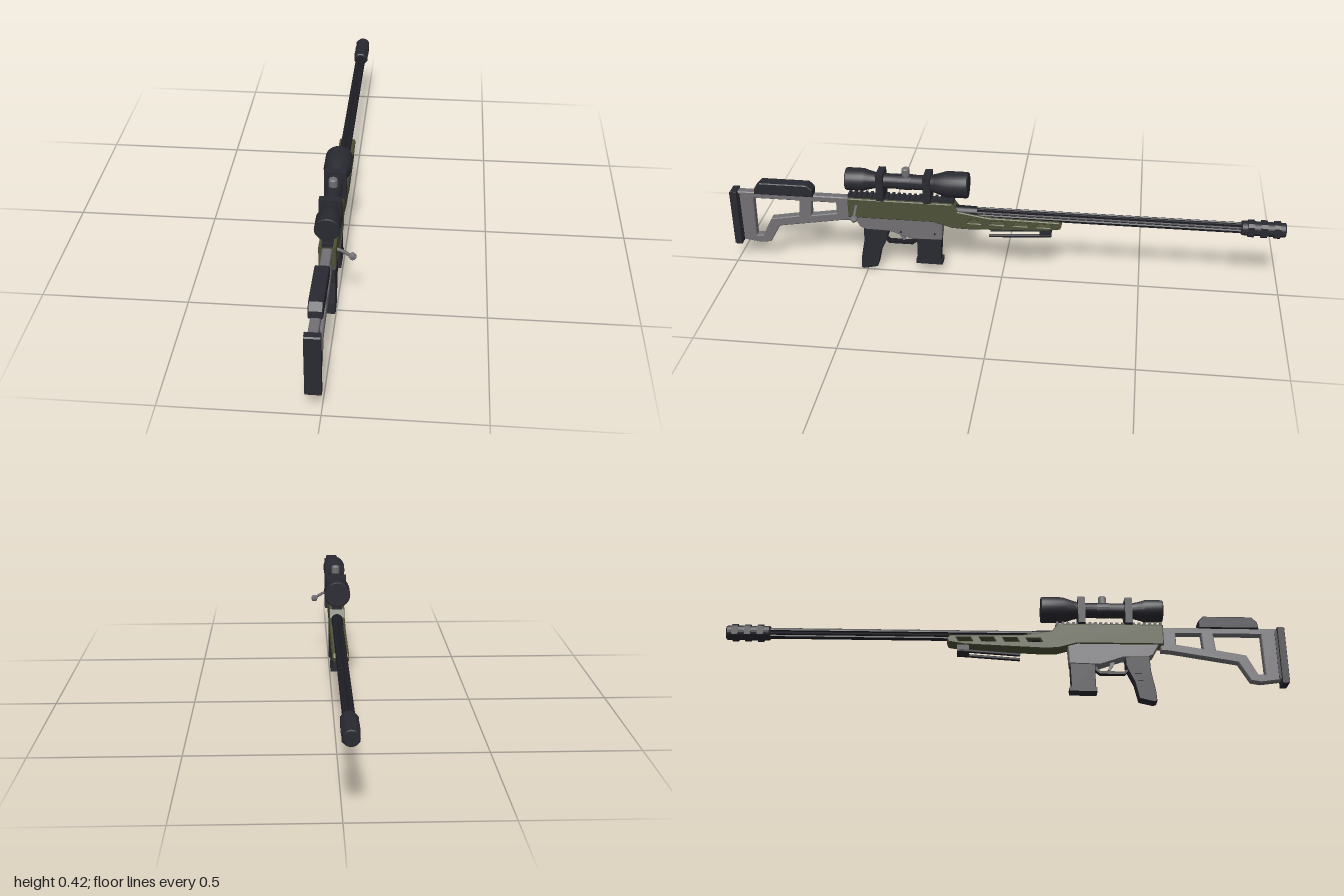
import * as THREE from 'three';
import { toCreasedNormals } from 'three/addons/utils/BufferGeometryUtils.js';

const CX = -0.023; // centre line of the whole model

const mat = (name, color) => {
  const m = new THREE.MeshStandardMaterial({ color });
  m.name = name;
  return m;
};

export function createModel() {
  const root = new THREE.Group();
  root.name = 'rifle';
  const dark = mat('darkPolymer', 0x292931);
  const black = mat('barrelSteel', 0x1e1e25);
  const grey = mat('greyMetal', 0x727074);
  const olive = mat('olivePaint', 0x4d5036);

  const add = (name, geo, material, x = 0, y = 0, z = 0) => {
    const m = new THREE.Mesh(geo, material);
    m.name = name;
    m.position.set(CX + x, y, z);
    root.add(m);
    return m;
  };
  const box = (name, material, w, h, d, x, y, z) =>
    add(name, new THREE.BoxGeometry(w, h, d), material, x, y, z);

  // Side outline given as [z, y] points, wound anticlockwise and extruded across x
  const outline = (pts, Type = THREE.Shape) => {
    const v = pts.map(([z, y]) => new THREE.Vector2(-z, y));
    return new Type(THREE.ShapeUtils.isClockWise(v) ? v.reverse() : v);
  };
  const plate = (name, material, width, pts, bevel = 0.003, holes = []) => {
    const s = outline(pts);
    s.holes = holes.map((h) => outline(h, THREE.Path));
    const g = new THREE.ExtrudeGeometry(s, {
      depth: width - 2 * bevel, bevelEnabled: bevel > 0, bevelThickness: bevel,
      bevelSize: bevel, bevelOffset: -bevel, bevelSegments: 1,
    });
    g.translate(0, 0, -(width - 2 * bevel) / 2).rotateY(Math.PI / 2);
    return add(name, g, material);
  };

  // Turned part along z, profile as [z, radius] with z increasing
  const turned = (name, material, y, profile, sides = 20) => {
    const g = new THREE.LatheGeometry(profile.map(([z, r]) => new THREE.Vector2(r, z)), sides);
    g.rotateX(Math.PI / 2);
    return add(name, toCreasedNormals(g, 0.5), material, 0, y, 0);
  };

  // Receiver and slotted fore-end
  const slots = [0.125, 0.042, -0.041, -0.124].map((z) => [
    [z, 0.224], [z - 0.008, 0.238], [z - 0.058, 0.238], [z - 0.05, 0.224],
  ]);
  plate('receiver', olive, 0.057, [
    [0.56, 0.22], [0.56, 0.297], [0.18, 0.297], [0.16, 0.268], [0.05, 0.25],
    [-0.205, 0.247], [-0.215, 0.235], [-0.21, 0.22], [-0.15, 0.21],
    [0.13, 0.198], [0.18, 0.2], [0.25, 0.22],
  ], 0.003, slots);

  // Toothed top rail
  box('railBase', dark, 0.036, 0.008, 0.385, 0, 0.299, 0.367);
  for (let i = 0; i < 20; i++)
    box('railTooth', dark, 0.036, 0.007, 0.01, 0, 0.306, 0.18 + i * 0.0197);

  // Lower housing with side pins
  plate('lowerHousing', grey, 0.046, [
    [0.545, 0.225], [0.52, 0.18], [0.5, 0.17], [0.41, 0.168], [0.33, 0.14],
    [0.22, 0.143], [0.215, 0.225],
  ]);
  for (const z of [0.37, 0.245]) {
    const pin = new THREE.CylinderGeometry(0.004, 0.004, 0.003, 8).rotateZ(Math.PI / 2);
    add('housingPin', pin, dark, 0.0235, 0.168, z);
  }

  // Pistol grip with side ribs
  plate('pistolGrip', dark, 0.043, [
    [0.507, 0.178], [0.42, 0.178], [0.421, 0.14], [0.431, 0.115], [0.45, 0.075],
    [0.464, 0.012], [0.515, 0], [0.526, 0.004], [0.523, 0.045], [0.509, 0.12],
  ], 0.002);
  for (let i = 0; i < 4; i++)
    box('gripRib', dark, 0.045, 0.008, 0.03, 0, 0.035 + i * 0.025, 0.494 - i * 0.009);

  // Magazine
  plate('magazine', dark, 0.041, [
    [0.312, 0.15], [0.312, 0.045], [0.226, 0.045], [0.222, 0.15],
  ], 0.002);
  box('magazineBase', dark, 0.045, 0.016, 0.098, 0, 0.046, 0.268);

  // Trigger and guard
  plate('triggerGuard', black, 0.02, [
    [0.432, 0.124], [0.418, 0.11], [0.33, 0.11], [0.308, 0.128], [0.308, 0.147],
    [0.318, 0.147], [0.318, 0.133], [0.333, 0.12], [0.416, 0.12], [0.432, 0.135],
  ], 0);
  plate('trigger', grey, 0.012, [
    [0.388, 0.17], [0.365, 0.17], [0.367, 0.148], [0.357, 0.126], [0.366, 0.124],
    [0.379, 0.146],
  ], 0);

  // Open-frame stock
  plate('stockFrame', grey, 0.031, [
    [0.972, 0.293], [0.55, 0.293], [0.55, 0.2], [0.58, 0.199], [0.825, 0.158],
    [0.865, 0.088], [0.9, 0.082], [0.972, 0.092],
  ], 0.003, [
    [[0.915, 0.269], [0.742, 0.269], [0.748, 0.206], [0.855, 0.187], [0.892, 0.114], [0.918, 0.112]],
    [[0.698, 0.269], [0.606, 0.269], [0.606, 0.226], [0.702, 0.21]],
  ]);
  plate('cheekRest', dark, 0.046, [
    [0.907, 0.29], [0.904, 0.315], [0.884, 0.336], [0.708, 0.336], [0.69, 0.318], [0.69, 0.29],
  ], 0.003);
  plate('buttPad', dark, 0.051, [
    [1, 0.08], [1, 0.292], [0.996, 0.296], [0.974, 0.296], [0.974, 0.076], [0.996, 0.076],
  ], 0.001);
  box('buttPlate', black, 0.036, 0.19, 0.012, 0, 0.19, 0.971);

  // Fluted barrel
  const section = new THREE.Shape();
  for (let i = 0; i < 32; i++) {
    const a = (i / 32) * Math.PI * 2;
    const r = i % 4 === 0 ? 0.015 : 0.0195;
    section[i ? 'lineTo' : 'moveTo'](Math.cos(a) * r, Math.sin(a) * r);
  }
  add('barrel', new THREE.ExtrudeGeometry(section, { depth: 1.06, bevelEnabled: false }),
    black, 0, 0.257, -0.87);
  turned('barrelCollar', black, 0.257, [[0.09, 0], [0.09, 0.021], [0.2, 0.024], [0.2, 0]]);

  // Muzzle brake: round body with chamfered square collars
  turned('muzzleBrake', dark, 0.257, [
    [-1, 0], [-1, 0.023], [-0.996, 0.026], [-0.848, 0.026], [-0.844, 0.022], [-0.844, 0],
  ]);
  const collar = new THREE.Shape();
  const [h, c] = [0.0265, 0.0165];
  [[h, c], [c, h], [-c, h], [-h, c], [-h, -c], [-c, -h], [c, -h], [h, -c]]
    .forEach(([x, y], i) => collar[i ? 'lineTo' : 'moveTo'](x, y));
  for (let i = 0; i < 3; i++)
    add('brakeCollar', new THREE.ExtrudeGeometry(collar, { depth: 0.022, bevelEnabled: false }),
      dark, 0, 0.257, -0.98 + i * 0.045);

  // Telescopic sight
  turned('scopeBody', dark, 0.365, [
    [0.121, 0], [0.121, 0.044], [0.125, 0.047], [0.2, 0.047],
    [0.24, 0.034], [0.27, 0.027], [0.45, 0.027], [0.485, 0.036], [0.5, 0.041],
    [0.561, 0.041], [0.564, 0.039], [0.564, 0],
  ], 24);
  for (const z of [0.268, 0.438])
    box('scopeRing', dark, 0.074, 0.102, 0.026, 0, 0.351, z);
  turned('scopeSaddle', dark, 0.365, [
    [0.325, 0], [0.325, 0.029], [0.37, 0.029], [0.37, 0],
  ]);
  add('turretKnob', new THREE.CylinderGeometry(0.015, 0.015, 0.028, 8), grey, 0, 0.402, 0.347);
  add('turretCap', new THREE.CylinderGeometry(0.012, 0.015, 0.004, 8), grey, 0, 0.418, 0.347);

  // Bolt handle
  const path = new THREE.CatmullRomCurve3([[0.02, 0.271], [0.035, 0.268], [0.056, 0.258],
    [0.074, 0.245]].map(([x, y]) => new THREE.Vector3(x, y, 0.528)));
  add('boltHandle', new THREE.TubeGeometry(path, 6, 0.0055, 6), grey);
  add('boltKnob', new THREE.IcosahedronGeometry(0.0145, 0), grey, 0.0785, 0.244, 0.527);

  // Folded bipod
  box('bipodMount', dark, 0.05, 0.026, 0.042, 0, 0.197, -0.157);
  for (const s of [-1, 1]) {
    const leg = new THREE.CylinderGeometry(0.0065, 0.0065, 0.225, 8).rotateX(Math.PI / 2 + 0.07);
    add('bipodLeg', leg, black, s * 0.02, 0.182, -0.066);
  }
  return root;
}
